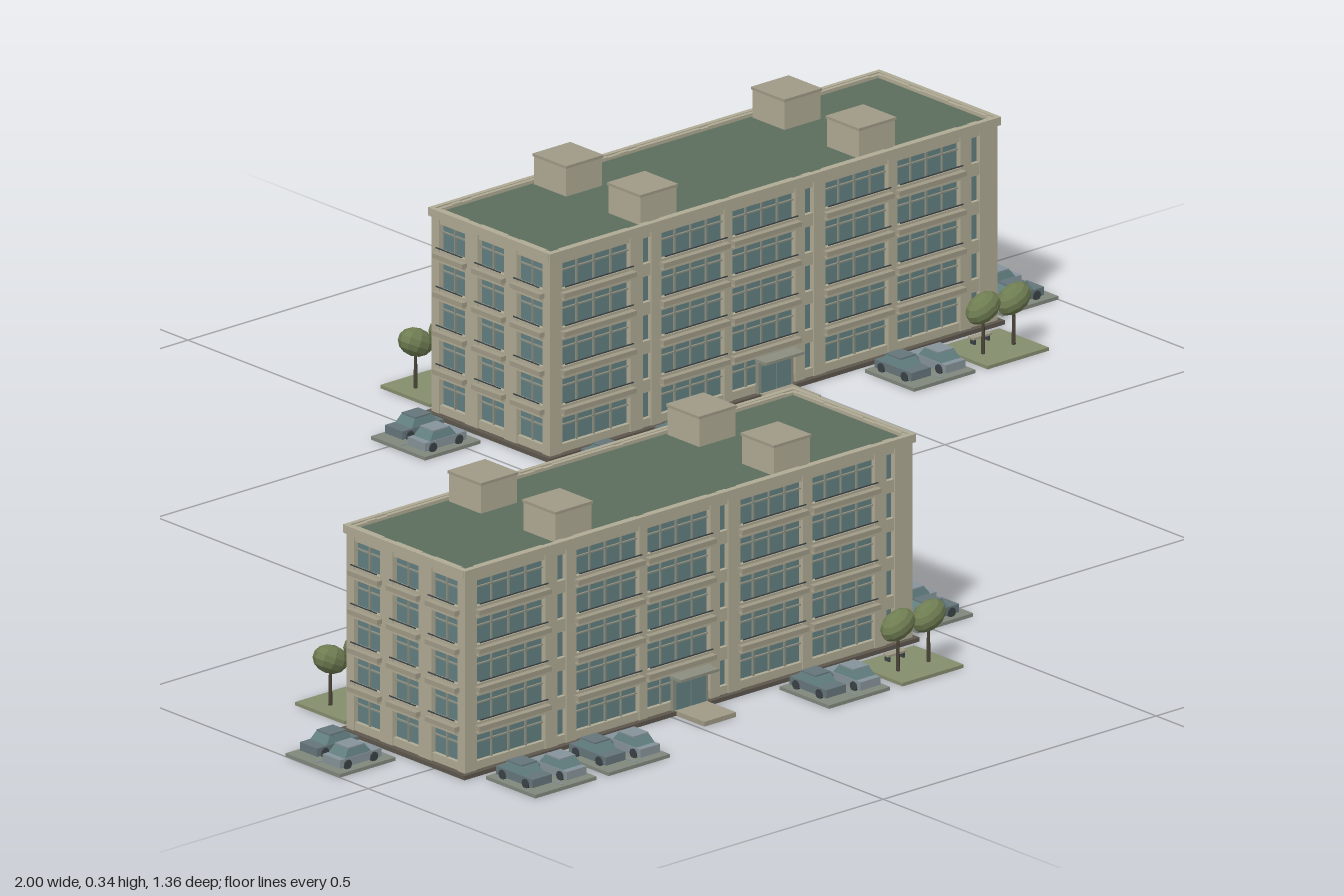
import * as THREE from 'three';
import { mergeGeometries } from 'three/addons/utils/BufferGeometryUtils.js';

const mat = (color) => new THREE.MeshStandardMaterial({ color, flatShading: true });
const M = {
  wall: mat(0xb0aa94), trim: mat(0xa09a86), glass: mat(0x627f80), frame: mat(0x8b8e80),
  roof: mat(0x5b6e5e), base: mat(0x5c564c), pad: mat(0x80877c), lawn: mat(0x858d6e),
  carA: mat(0x65757a), carB: mat(0x86939a), dark: mat(0x3a4246), trunk: mat(0x4a4438), leaf: mat(0x6f7d52),
};
const FLOORS = 5, STOREY = 0.0565, SILL = 0.018, WIN = 0.038, TOP = 0.302;

// Collects boxes by part name, then adds one mesh per part
function batch() {
  const parts = {};
  return {
    box(name, m, w, h, d, x, y, z) {
      const g = new THREE.BoxGeometry(w, h, d).translate(x, y, z);
      (parts[name] ??= { m, list: [] }).list.push(g);
    },
    flush(group) {
      for (const [name, p] of Object.entries(parts)) {
        const mesh = new THREE.Mesh(mergeGeometries(p.list), p.m);
        mesh.name = name;
        group.add(mesh);
      }
      return group;
    },
  };
}

function named(name) {
  const g = new THREE.Group();
  g.name = name;
  return g;
}

// One wall facing +z at distance `dist`; openings = [centre, width, panes, hasBalcony]
function facade(name, width, dist, openings, door) {
  const b = batch(), T = 0.009, zc = dist - T / 2, half = width / 2;
  b.box('glazing', M.glass, width - 0.02, 0.28, 0.002, 0, 0.15, dist - T);
  // vertical piers fill the gaps between openings
  let left = -half;
  for (const [x, w] of [...openings, [half, 0]]) {
    const right = x - w / 2;
    if (right > left) b.box('piers', M.wall, right - left, TOP - 0.002, T, (left + right) / 2, TOP / 2, zc);
    left = x + w / 2;
  }
  for (const [x, w, panes, balcony] of openings) {
    for (let f = 0; f <= FLOORS; f++) {
      // spandrel between window rows
      const y0 = f === 0 ? 0 : SILL + (f - 1) * STOREY + WIN;
      const y1 = f === FLOORS ? TOP : SILL + f * STOREY;
      b.box('spandrels', M.wall, w, y1 - y0, T - 0.002, x, (y0 + y1) / 2, zc - 0.001);
      if (f === FLOORS) continue;
      const mid = y1 + WIN / 2;
      for (let i = 1; i < panes; i++)
        b.box('mullions', M.frame, 0.0025, WIN, 0.003, x - w / 2 + (i * w) / panes, mid, dist - 0.006);
      if (panes > 1) b.box('transoms', M.frame, w, 0.002, 0.003, x, y1 + WIN * 0.7, dist - 0.006);
      if (balcony && f > 0) {
        // projecting sill with a rounded-off lower lip and a thin rail
        b.box('balconyLedges', M.trim, w + 0.008, 0.007, 0.009, x, y1 - 0.006, dist + 0.0045);
        b.box('balconyLips', M.wall, w + 0.004, 0.004, 0.006, x, y1 - 0.0115, dist + 0.003);
        b.box('balconyRails', M.dark, w, 0.0015, 0.0015, x, y1 + 0.006, dist + 0.006);
      }
    }
  }
  if (door) {
    b.box('doorSurround', M.frame, 0.064, 0.05, 0.006, 0, 0.029, dist + 0.001);
    for (const s of [-1, 1]) b.box('doorLeaves', M.glass, 0.026, 0.042, 0.002, s * 0.014, 0.025, dist + 0.004);
    b.box('entranceCanopy', M.frame, 0.07, 0.004, 0.024, 0, 0.056, dist + 0.012);
  }
  return b.flush(named(name));
}

function car(m) {
  const g = named('car'), b = batch();
  b.box('carBody', m, 0.036, 0.012, 0.076, 0, 0.014, 0);
  b.box('carRoof', m, 0.028, 0.002, 0.03, 0, 0.032, -0.004);
  b.flush(g);
  // tapered cabin
  const geo = new THREE.BoxGeometry(0.034, 0.011, 0.048).translate(0, 0.0255, -0.004);
  const p = geo.attributes.position;
  for (let i = 0; i < p.count; i++)
    if (p.getY(i) > 0.026) p.setXYZ(i, p.getX(i) * 0.82, p.getY(i), -0.004 + (p.getZ(i) + 0.004) * 0.65);
  geo.computeVertexNormals();
  const cabin = new THREE.Mesh(geo, M.glass);
  cabin.name = 'carCabin';
  g.add(cabin);
  for (const sx of [-1, 1]) for (const sz of [-1, 1]) {
    const w = new THREE.Mesh(new THREE.CylinderGeometry(0.007, 0.007, 0.005, 10).rotateZ(Math.PI / 2), M.dark);
    w.name = 'wheel';
    w.position.set(sx * 0.017, 0.011, sz * 0.024);
    g.add(w);
  }
  return g;
}

function tree() {
  const g = named('tree');
  const trunk = new THREE.Mesh(new THREE.CylinderGeometry(0.002, 0.003, 0.06, 6), M.trunk);
  trunk.name = 'trunk';
  trunk.position.y = 0.033;
  const crown = new THREE.Mesh(new THREE.SphereGeometry(1, 10, 7), M.leaf);
  crown.name = 'crown';
  crown.scale.set(0.029, 0.02, 0.02);
  crown.rotation.z = 0.45;
  crown.position.y = 0.072;
  g.add(trunk, crown);
  return g;
}

// Plot whose outer edge faces +z: either two parked cars or two trees and a bench
function plot(planted) {
  const g = named(planted ? 'gardenPlot' : 'parkingPlot'), b = batch();
  b.box('plotSlab', planted ? M.lawn : M.pad, 0.112, 0.005, 0.102, 0, 0.0025, 0);
  if (planted) {
    b.box('benchSeat', M.trim, 0.034, 0.003, 0.011, 0, 0.014, -0.028);
    for (const s of [-1, 1]) b.box('benchLegs', M.dark, 0.003, 0.009, 0.009, s * 0.013, 0.009, -0.028);
  } else {
    b.box('bayLine', M.carB, 0.002, 0.001, 0.09, 0, 0.0055, 0);
  }
  b.flush(g);
  for (const s of [-1, 1]) {
    const item = planted ? tree() : car(s < 0 ? M.carA : M.carB);
    item.position.set(s * 0.028, 0, planted ? 0.01 : s * 0.004);
    if (!planted && s > 0) item.rotation.y = Math.PI;
    g.add(item);
  }
  return g;
}

function block() {
  const g = named('apartmentBlock'), b = batch(), HX = 0.41, HZ = 0.1225;
  b.box('foundation', M.base, 2 * HX + 0.014, 0.006, 2 * HZ + 0.014, 0, 0.003, 0);
  b.box('roofDeck', M.roof, 2 * HX - 0.008, 0.006, 2 * HZ - 0.008, 0, 0.294, 0);
  // parapet
  for (const s of [-1, 1]) {
    b.box('parapet', M.wall, 2 * HX + 0.006, 0.012, 0.007, 0, 0.297, s * HZ);
    b.box('parapet', M.wall, 0.007, 0.012, 2 * HZ, s * HX, 0.297, 0);
    for (const t of [-1, 1]) {
      b.box('roofHouses', M.wall, 0.066, 0.046, 0.066, s * 0.2, 0.318, t * 0.077);
      b.box('roofHouseCaps', M.trim, 0.069, 0.004, 0.069, s * 0.2, 0.34, t * 0.077);
    }
  }
  b.box('entrancePath', M.trim, 0.058, 0.007, 0.065, 0, 0.0035, 0.155);
  b.flush(g);

  // long walls: wide bays separated by stair towers with slit windows
  const long = [
    [-0.325, 0.125, 4, true], [-0.232, 0.016, 1, false], [-0.148, 0.115, 4, true], [-0.018, 0.115, 4, true],
    [0.065, 0.016, 1, false], [0.152, 0.115, 4, true], [0.284, 0.115, 4, true], [0.37, 0.016, 1, false],
  ];
  const short = [-0.08, 0, 0.08].map((x) => [x, 0.054, 2, true]);
  const walls = [['frontWall', long, HX, HZ], ['leftWall', short, HZ, HX], ['backWall', long, HX, HZ], ['rightWall', short, HZ, HX]];
  walls.forEach(([name, openings, half, dist], i) => {
    const w = facade(name, 2 * half, dist, openings, i === 0);
    w.rotation.y = (i * Math.PI) / 2;
    g.add(w);
  });

  // surrounding plots: [x, z, quarter turns, planted]
  const step = 0.1345, plots = [[0.4865, 0.048, 1, false], [-0.4865, -0.048, 3, false]];
  for (const k of [-2.5, -1.5, 1.5, 2.5]) plots.push([k * step, 0.197, 0, k === 2.5]);
  for (let k = -2.5; k < 3; k++) plots.push([k * step, -0.197, 2, k === -2.5 || k === 0.5]);
  for (const [x, z, turns, planted] of plots) {
    const p = plot(planted);
    p.position.set(x, 0, z);
    p.rotation.y = (turns * Math.PI) / 2;
    g.add(p);
  }
  return g;
}

export function createModel() {
  const model = named('housingEstate');
  for (const s of [-1, 1]) {
    const b = block();
    b.position.set(s * 0.4625, 0, s * -0.4335);
    model.add(b);
  }
  return model;
}
